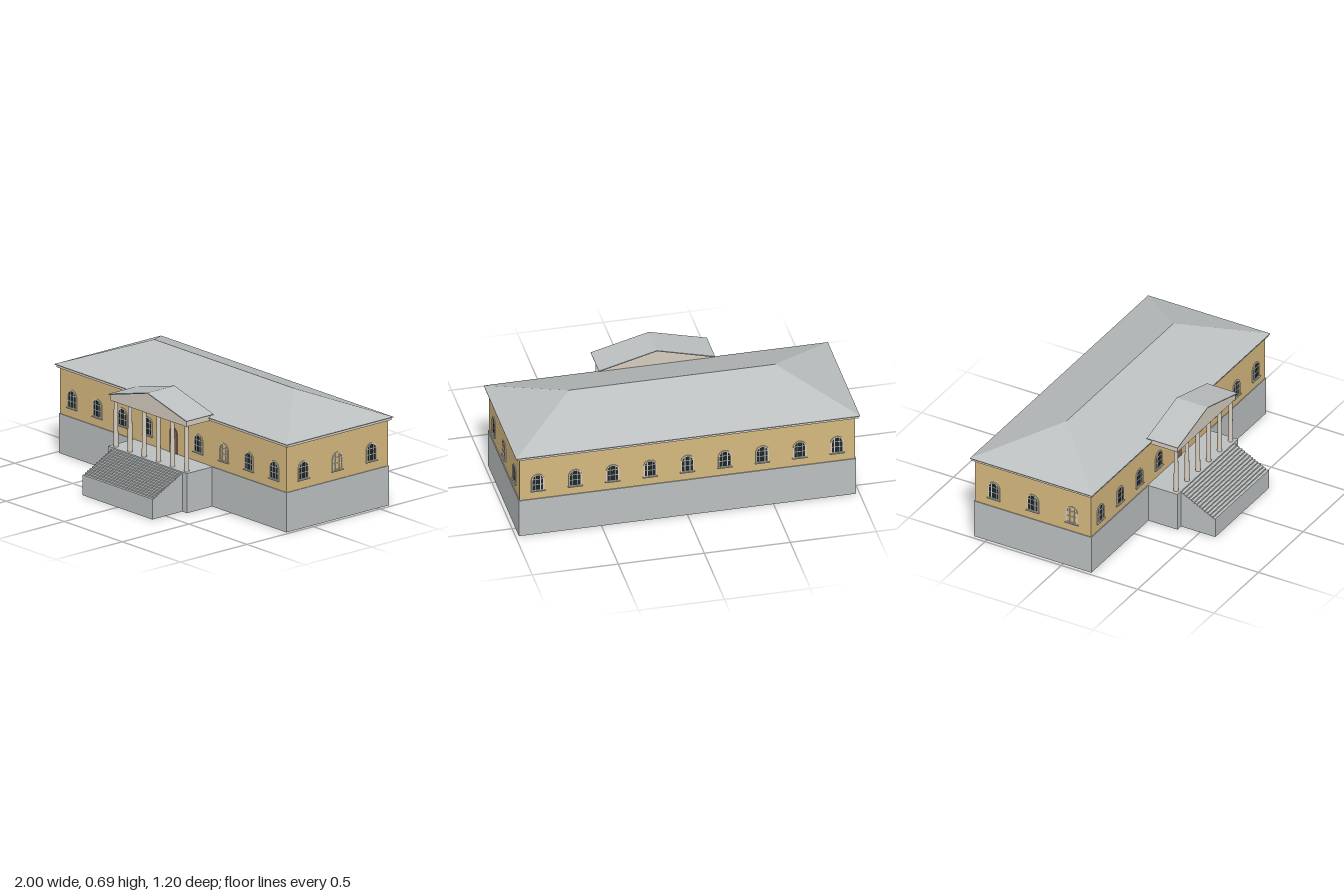
import * as THREE from 'three';
import { ConvexGeometry } from 'three/addons/geometries/ConvexGeometry.js';

const mat = (name, color, side = THREE.FrontSide) => {
  const m = new THREE.MeshStandardMaterial({ color, side });
  m.name = name;
  return m;
};

export function createModel() {
  const stone = mat('grey stone', 0xbcc0c0, THREE.DoubleSide);
  const wall = mat('ochre plaster', 0xd6b97f);
  const trim = mat('pale trim', 0xd6cdc0);
  const glass = mat('dark glass', 0x1c282c);
  const wood = mat('brown wood', 0x87654f);

  const model = new THREE.Group();
  model.name = 'columnedHouse';

  const add = (parent, name, geometry, material) => {
    const mesh = new THREE.Mesh(geometry, material);
    mesh.name = name;
    parent.add(mesh);
    return mesh;
  };
  // box given by its minimum and maximum on each axis
  const boxGeo = (x0, x1, y0, y1, z0, z1) =>
    new THREE.BoxGeometry(x1 - x0, y1 - y0, z1 - z0)
      .translate((x0 + x1) / 2, (y0 + y1) / 2, (z0 + z1) / 2);
  // drop whole sides of a box (order: +x -x +y -y +z -z)
  const openBox = (geo, removed) => {
    const index = Array.from(geo.index.array);
    geo.setIndex(index.filter((_, i) => !removed.includes(Math.floor(i / 6))));
    geo.clearGroups();
    return geo;
  };
  // outline with a half-round top
  const arch = (radius, y0, y1, PathType = THREE.Shape) => {
    const p = new PathType();
    p.moveTo(-radius, y0);
    p.lineTo(radius, y0);
    p.lineTo(radius, y1 - radius);
    p.absarc(0, y1 - radius, radius, 0, Math.PI, false);
    p.closePath();
    return p;
  };

  // hollow plinth and porch, both open below
  add(model, 'plinth', openBox(boxGeo(-0.98, 0.98, 0, 0.235, -0.585, 0.185), [3]), stone);
  add(model, 'porch', openBox(boxGeo(-0.34, 0.34, 0, 0.235, 0.185, 0.375), [3, 5]), stone);

  // stairs: stepped side profile pulled across x
  const steps = 13, y0 = 0.121, tread = 0.225 / steps, rise = (0.235 - y0) / steps;
  const profile = new THREE.Shape();
  profile.moveTo(0.375, 0);
  profile.lineTo(0.6, 0);
  for (let i = 0; i < steps; i++) {
    profile.lineTo(0.6 - i * tread, y0 + i * rise);
    profile.lineTo(0.6 - (i + 1) * tread, y0 + i * rise);
  }
  profile.closePath();
  add(model, 'stairs', new THREE.ExtrudeGeometry(profile, { depth: 0.6, bevelEnabled: false })
    .rotateY(-Math.PI / 2).translate(0.3, 0, 0), stone);

  // main block, cornice and hipped roof
  add(model, 'walls', boxGeo(-0.975, 0.975, 0.235, 0.509, -0.58, 0.18), wall);
  add(model, 'cornice', boxGeo(-0.992, 0.992, 0.508, 0.523, -0.592, 0.192), trim);
  const hip = [[-0.6, 0.685, -0.2], [0.6, 0.685, -0.2]];
  for (const x of [-1, 1]) for (const z of [-0.6, 0.2]) hip.push([x, 0.523, z], [x, 0.527, z]);
  add(model, 'roof', new ConvexGeometry(hip.map((p) => new THREE.Vector3(...p))), stone);

  // windows: frame, glazing bars, sill and optional glass
  const frameShape = arch(0.038, 0.288, 0.398);
  frameShape.holes.push(arch(0.031, 0.295, 0.391, THREE.Path));
  const frameGeo = new THREE.ExtrudeGeometry(frameShape, { depth: 0.005, bevelEnabled: false });
  const glassGeo = new THREE.ShapeGeometry(arch(0.033, 0.292, 0.393));
  const sillGeo = boxGeo(-0.043, 0.043, 0.285, 0.289, 0, 0.011);
  const uprightGeo = boxGeo(-0.002, 0.002, 0.29, 0.386, 0, 0.004);
  const crossGeo = boxGeo(-0.032, 0.032, -0.002, 0.002, 0, 0.004);
  const addWindow = (x, z, turn, glazed) => {
    const w = new THREE.Group();
    w.name = glazed ? 'window' : 'blindWindow';
    add(w, 'windowFrame', frameGeo, trim);
    add(w, 'windowSill', sillGeo, stone);
    for (const s of [-1, 1]) add(w, 'uprightBar', uprightGeo, trim).position.x = s * 0.015;
    for (const y of [0.33, 0.364]) add(w, 'crossBar', crossGeo, trim).position.y = y;
    if (glazed) add(w, 'pane', glassGeo, glass).position.z = 0.002;
    w.position.set(x, 0, z);
    w.rotation.y = turn;
    model.add(w);
  };
  for (let i = -4; i <= 4; i++) {
    const x = i * 0.2175;
    if (i !== 0) addWindow(x, 0.18, 0, i !== 2);
    addWindow(x, -0.58, Math.PI, true);
  }
  for (let i = -1; i <= 1; i++) {
    const z = -0.2 + i * 0.255;
    addWindow(0.975, z, Math.PI / 2, i !== 0);
    addWindow(-0.975, z, -Math.PI / 2, i !== 1);
  }

  // arched entrance
  add(model, 'door', new THREE.ExtrudeGeometry(arch(0.034, 0.235, 0.387),
    { depth: 0.004, bevelEnabled: false }), wood).position.z = 0.18;

  // portico: six tapered columns, beam, pediment and gable roof
  const columnGeo = new THREE.CylinderGeometry(0.0115, 0.0145, 0.274, 20);
  for (const s of [-1, 1]) for (const x of [0.061, 0.183, 0.305]) {
    add(model, 'column', columnGeo, trim).position.set(s * x, 0.372, 0.346);
  }
  add(model, 'beam', boxGeo(-0.326, 0.326, 0.508, 0.546, 0.184, 0.367), trim);

  const prism = (points, z0, z1) => new THREE.ExtrudeGeometry(
    new THREE.Shape(points.map((p) => new THREE.Vector2(...p))),
    { depth: z1 - z0, bevelEnabled: false }).translate(0, 0, z0);
  add(model, 'pediment', prism([[-0.322, 0.545], [0.322, 0.545], [0, 0.629]], 0.184, 0.369), trim);
  add(model, 'porticoRoof', prism([[-0.338, 0.542], [-0.326, 0.542], [0, 0.628],
    [0.326, 0.542], [0.338, 0.542], [0.338, 0.545], [0, 0.633], [-0.338, 0.545]], 0.172, 0.375), stone);

  return model;
}
